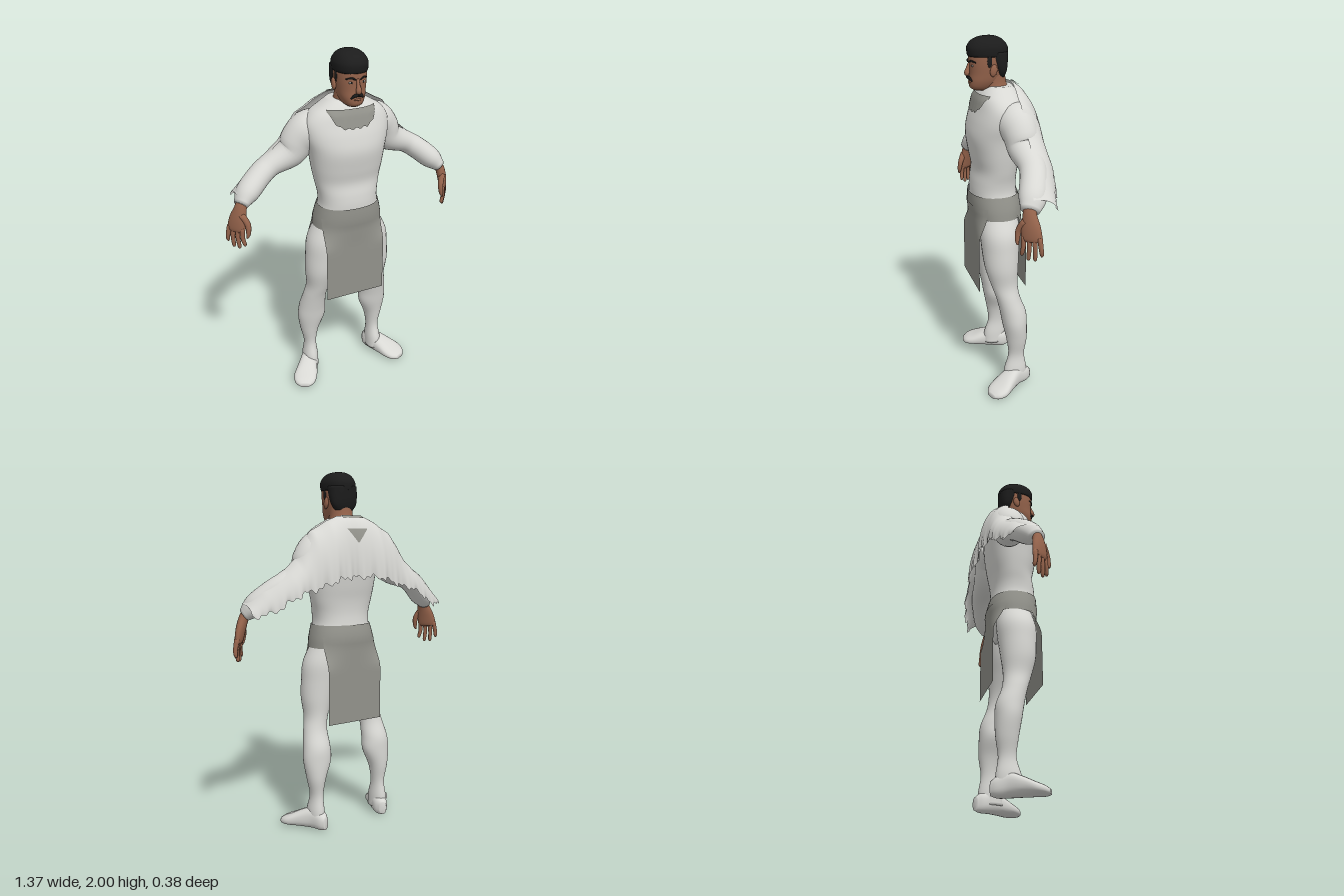
import * as THREE from 'three';
import { ParametricGeometry } from 'three/addons/geometries/ParametricGeometry.js';

const V = (x, y, z) => new THREE.Vector3(x, y, z);
const cloth = new THREE.MeshStandardMaterial({ color: 0xd8d8d4, side: THREE.DoubleSide });
cloth.name = 'white cloth';
const grey = new THREE.MeshStandardMaterial({ color: 0x92928b, side: THREE.DoubleSide });
grey.name = 'grey cloth';
const skin = new THREE.MeshStandardMaterial({ color: 0x96644c });
skin.name = 'skin';
const black = new THREE.MeshStandardMaterial({ color: 0x1c1c1c });
black.name = 'black hair';
const eyeWhite = new THREE.MeshStandardMaterial({ color: 0xa8a19a });
eyeWhite.name = 'eye white';

// Smooth skin through sections [x, y, z, a, b]; a lies along ref, b across it
function loft(sections, { ref = V(1, 0, 0), dir = null, n = 2, seg = 28, steps = 5, cap = true } = {}) {
  const path = new THREE.CatmullRomCurve3(sections.map(s => V(s[0], s[1], s[2])), false, 'catmullrom', 0.5);
  const size = new THREE.CatmullRomCurve3(sections.map(s => V(s[3], s[4], 0)), false, 'catmullrom', 0.5);
  const rows = (sections.length - 1) * steps, pos = [], index = [];
  const pw = v => Math.sign(v) * Math.abs(v) ** (2 / n);
  for (let i = 0; i <= rows; i++) {
    const c = path.getPoint(i / rows), r = size.getPoint(i / rows);
    const T = (dir || path.getTangent(i / rows)).clone().normalize();
    const A = ref.clone().addScaledVector(T, -ref.dot(T)).normalize();
    const B = T.clone().cross(A);
    for (let j = 0; j < seg; j++) {
      const t = j / seg * Math.PI * 2;
      const p = c.clone().addScaledVector(A, r.x * pw(Math.cos(t))).addScaledVector(B, r.y * pw(Math.sin(t)));
      pos.push(p.x, p.y, p.z);
      if (i < rows) {
        const a = i * seg + j, b = i * seg + (j + 1) % seg;
        index.push(a, b, a + seg, b, b + seg, a + seg);
      }
    }
  }
  if (cap) {
    const first = sections[0], last = sections[sections.length - 1], k = pos.length / 3;
    pos.push(first[0], first[1], first[2], last[0], last[1], last[2]);
    for (let j = 0; j < seg; j++) {
      const q = (j + 1) % seg, e = rows * seg;
      index.push(k, q, j, k + 1, e + j, e + q);
    }
  }
  const g = new THREE.BufferGeometry();
  g.setAttribute('position', new THREE.Float32BufferAttribute(pos, 3));
  g.setIndex(index);
  g.computeVertexNormals();
  return g;
}

// Upright body from rows [y, half width, front z, back z]
const UP = V(0, 1, 0);
const upright = (rows, opt) => loft(rows.map(([y, w, f, b]) => [0, y, (f + b) / 2, w, (f - b) / 2]), { dir: UP, n: 2.3, seg: 40, ...opt });

// Linear look-up by the first column
function sample(rows, k) {
  let i = 0;
  while (i < rows.length - 2 && k > rows[i + 1][0]) i++;
  const t = THREE.MathUtils.clamp((k - rows[i][0]) / (rows[i + 1][0] - rows[i][0]), 0, 1);
  return rows[i].map((v, j) => v + (rows[i + 1][j] - v) * t);
}
function surfaceZ(rows, x, y, s) {
  const [, w, f, b] = sample(rows, y);
  const k = Math.max(0, 1 - Math.min(1, Math.abs(x) / w) ** 2.3) ** (1 / 2.3);
  return (f + b) / 2 + s * (f - b) / 2 * k;
}
function sheet(fn, nu, nv) {
  const g = new ParametricGeometry((u, v, p) => p.set(...fn(u, v)), nu, nv);
  g.computeVertexNormals();
  return g;
}

const TORSO = [[0.92, 0.12, 0.11, -0.05], [1.0, 0.185, 0.145, -0.08], [1.1, 0.182, 0.163, -0.092], [1.17, 0.167, 0.168, -0.084],
  [1.23, 0.17, 0.163, -0.08], [1.3, 0.185, 0.152, -0.085], [1.38, 0.2, 0.166, -0.1], [1.48, 0.215, 0.18, -0.115],
  [1.56, 0.235, 0.166, -0.12], [1.63, 0.235, 0.142, -0.115], [1.68, 0.2, 0.125, -0.1], [1.715, 0.145, 0.105, -0.085], [1.745, 0.095, 0.075, -0.065]];
const BELT = [[1.035, 0.2, 0.168, -0.102], [1.08, 0.194, 0.175, -0.106], [1.12, 0.185, 0.177, -0.102], [1.162, 0.173, 0.176, -0.092]];

// Shawl by distance from the middle: [x, top y, hem y, top z, back z]
const SHAWL = [[0, 1.762, 1.43, -0.055, -0.158], [0.08, 1.758, 1.43, -0.05, -0.175], [0.15, 1.73, 1.42, -0.045, -0.188], [0.2, 1.7, 1.4, -0.04, -0.182],
  [0.25, 1.675, 1.38, -0.04, -0.172], [0.29, 1.615, 1.37, -0.04, -0.168], [0.34, 1.535, 1.36, -0.045, -0.17], [0.4, 1.482, 1.335, -0.045, -0.168],
  [0.47, 1.432, 1.29, -0.035, -0.152], [0.54, 1.385, 1.255, -0.01, -0.13], [0.62, 1.305, 1.245, 0.02, -0.1]];
function shawlZ(x, y) {
  const [, top, hem, z0, back] = sample(SHAWL, Math.abs(x));
  const c = 1 - (top - y) / (top - hem);
  return z0 - (z0 - back) * Math.sqrt(Math.max(0, 1 - c * c));
}

export function createModel() {
  const root = new THREE.Group();
  const add = (name, geo, mat) => {
    const m = new THREE.Mesh(geo, mat);
    m.name = name;
    root.add(m);
    return m;
  };
  const ball = (name, mat, p, s) => {
    const m = add(name, new THREE.SphereGeometry(1, 18, 12), mat);
    m.position.set(...p);
    m.scale.set(...s);
    return m;
  };

  // Body, belt and the two hanging flaps
  add('torso', upright(TORSO), cloth);
  add('belt', upright(BELT, { cap: false }), grey);
  for (const s of [1, -1]) {
    add(s > 0 ? 'frontFlap' : 'backFlap', sheet((u, v) => {
      const y = 1.1 - 0.49 * v, x = -0.18 + 0.35 * u;
      const k = THREE.MathUtils.smoothstep(y, 0.9, 1.07);
      return [x, y, THREE.MathUtils.lerp(s > 0 ? 0.166 : -0.106, surfaceZ(BELT, x, y, s) + s * 0.004, k)];
    }, 20, 24), grey);
  }

  // Ragged bib at the throat and triangle on the back
  add('bib', sheet((u, v) => {
    const x = -0.138 + 0.27 * u, e = Math.abs(2 * u - 1);
    const y = THREE.MathUtils.lerp(1.708, 1.612 + 0.085 * e ** 4 + 0.005 * Math.sin(u * 40), v);
    return [x, y, surfaceZ(TORSO, x, y, 1) + 0.009 + 0.008 * (1 - v)];
  }, 28, 8), grey);
  add('backTriangle', sheet((u, v) => {
    const x = (u - 0.5) * 0.13 * (1 - 0.97 * v), y = 1.69 - 0.075 * v;
    return [x, y, shawlZ(x, y) - 0.005];
  }, 8, 8), grey);
  add('backCollar', sheet((u, v) => {
    const x = (u - 0.5) * 0.13, y = 1.757 - 0.014 * v;
    return [x, y + 0.005, shawlZ(x, y) - 0.003];
  }, 8, 3), grey);

  // Shawl draped over the back and arms, with a torn hem
  add('shawl', sheet((u, v) => {
    const x = (2 * u - 1) * 0.62;
    const [, top, hem, z0, back] = sample(SHAWL, Math.abs(x));
    const rag = v ** 6 * (0.009 * Math.sin(x * 61) + 0.008 * Math.sin(x * 143 + 1));
    const t = v * Math.PI / 2;
    return [x, top - (top - hem) * (1 - Math.cos(t)) + rag, z0 - (z0 - back) * Math.sin(t) + rag * 0.6];
  }, 120, 16), cloth);

  for (const s of [1, -1]) {
    const side = s > 0 ? 'left' : 'right';
    const mir = rows => rows.map(([x, ...r]) => [x * s, ...r]);

    // Sleeved arm
    add(side + 'Sleeve', loft(mir([[0.12, 1.595, -0.02, 0.1, 0.09], [0.19, 1.575, -0.03, 0.105, 0.105], [0.245, 1.53, -0.04, 0.095, 0.095],
      [0.29, 1.46, -0.045, 0.085, 0.08], [0.4, 1.408, -0.05, 0.072, 0.062], [0.47, 1.365, -0.035, 0.07, 0.062],
      [0.555, 1.295, 0, 0.07, 0.06], [0.603, 1.245, 0.03, 0.047, 0.034]]), { ref: V(0, 0, 1) }), cloth);

    // Hand with four fingers and a thumb
    const across = V(0.62 * s, 0, -0.78);
    add(side + 'Palm', loft(mir([[0.59, 1.265, 0.025, 0.032, 0.026], [0.608, 1.225, 0.032, 0.036, 0.026], [0.625, 1.17, 0.032, 0.05, 0.025],
      [0.636, 1.12, 0.03, 0.054, 0.021], [0.638, 1.1, 0.03, 0.046, 0.015]]), { ref: across, seg: 20 }), skin);
    for (let i = 0; i < 4; i++) {
      const o = (i - 1.5) * 0.027, tip = [1.02, 1.0, 1.003, 1.03][i];
      const x = 0.638 + o * 0.62, z = 0.03 - o * 0.78;
      add(side + 'Finger' + (i + 1), loft(mir([[x, 1.125, z, 0.014, 0.014], [x + 0.008 + o * 0.1, 1.07, z - o * 0.1, 0.012, 0.012],
        [x + 0.004 + o * 0.2, tip + 0.012, z - o * 0.2, 0.01, 0.01], [x + 0.002 + o * 0.2, tip, z - o * 0.2, 0.004, 0.004]]), { ref: across, seg: 10, steps: 3 }), skin);
    }
    add(side + 'Thumb', loft(mir([[0.61, 1.2, 0.055, 0.018, 0.018], [0.588, 1.15, 0.08, 0.016, 0.016], [0.59, 1.1, 0.088, 0.012, 0.012],
      [0.598, 1.075, 0.088, 0.005, 0.005]]), { ref: across, seg: 10, steps: 3 }), skin);

    // Leg and toed-out foot
    add(side + 'Leg', loft(mir([[0.1, 1.05, 0.03, 0.09, 0.1], [0.125, 0.95, 0.035, 0.113, 0.11], [0.14, 0.85, 0.037, 0.11, 0.104],
      [0.162, 0.75, 0.036, 0.092, 0.094], [0.178, 0.65, 0.025, 0.068, 0.076], [0.193, 0.57, 0.007, 0.068, 0.068],
      [0.2, 0.48, -0.02, 0.078, 0.074], [0.203, 0.4, -0.03, 0.082, 0.07], [0.215, 0.3, -0.039, 0.055, 0.059],
      [0.214, 0.2, -0.038, 0.036, 0.047], [0.217, 0.11, -0.032, 0.044, 0.066], [0.217, 0.04, -0.03, 0.045, 0.07]]), { dir: UP }), cloth);
    add(side + 'Foot', loft(mir([[0.2, 0.045, -0.118, 0.02, 0.035], [0.205, 0.053, -0.085, 0.04, 0.053], [0.225, 0.062, -0.03, 0.048, 0.062],
      [0.262, 0.05, 0.03, 0.06, 0.05], [0.298, 0.034, 0.085, 0.07, 0.034], [0.318, 0.024, 0.125, 0.058, 0.024], [0.328, 0.018, 0.148, 0.03, 0.013]]),
    { dir: V(0.4 * s, 0, 0.9), ref: V(0.9 * s, 0, -0.4), n: 2.4 }), cloth);

    // Ear, eye, brow and sideburn
    ball(side + 'Ear', skin, [0.083 * s, 1.83, 0.055], [0.011, 0.032, 0.019]).rotation.x = -0.2;
    ball(side + 'Eye', eyeWhite, [0.032 * s, 1.853, 0.154], [0.014, 0.006, 0.008]);
    ball(side + 'Pupil', black, [0.032 * s, 1.853, 0.159], [0.005, 0.005, 0.004]);
    add(side + 'Brow', loft(mir([[0.012, 1.868, 0.17, 0.003, 0.003], [0.033, 1.877, 0.163, 0.004, 0.005], [0.058, 1.87, 0.142, 0.003, 0.003]]),
      { ref: V(0, 0, 1), seg: 8 }), black);
    ball(side + 'Sideburn', black, [0.078 * s, 1.88, 0.075], [0.007, 0.035, 0.014]);
    add(side + 'Moustache', loft(mir([[0, 1.79, 0.172, 0.006, 0.007], [0.018, 1.788, 0.169, 0.007, 0.009], [0.034, 1.772, 0.157, 0.003, 0.004]]),
      { ref: V(0, 0, 1), seg: 10 }), black);
  }

  // Neck, head and nose
  add('neck', upright([[1.66, 0.085, 0.1, -0.06], [1.72, 0.074, 0.095, -0.05], [1.76, 0.066, 0.1, -0.035], [1.82, 0.066, 0.1, -0.025]], { n: 2 }), skin);
  add('head', upright([[1.722, 0.03, 0.142, 0.06], [1.738, 0.05, 0.162, 0.03], [1.77, 0.066, 0.166, 0], [1.81, 0.074, 0.163, -0.02],
    [1.86, 0.08, 0.165, -0.03], [1.91, 0.08, 0.165, -0.03], [1.95, 0.073, 0.15, -0.015], [1.98, 0.04, 0.11, 0.02]]), skin);
  add('nose', loft([[0, 1.872, 0.158, 0.008, 0.008], [0, 1.84, 0.17, 0.009, 0.01], [0, 1.812, 0.177, 0.016, 0.014], [0, 1.8, 0.172, 0.012, 0.008]],
    { seg: 14 }), skin);
  ball('lowerLip', skin, [0, 1.765, 0.163], [0.02, 0.006, 0.008]);

  // Close-cropped hair: crown and back of the head
  add('hairCrown', upright([[1.898, 0.083, 0.169, -0.04], [1.915, 0.087, 0.174, -0.042], [1.945, 0.086, 0.174, -0.04], [1.975, 0.07, 0.152, -0.018],
    [1.993, 0.045, 0.115, 0.012], [2.0, 0.012, 0.075, 0.045]]), black);
  add('hairBack', upright([[1.79, 0.055, 0.03, -0.022], [1.82, 0.075, 0.04, -0.032], [1.86, 0.083, 0.062, -0.038], [1.92, 0.085, 0.09, -0.041]]), black);

  return root;
}
